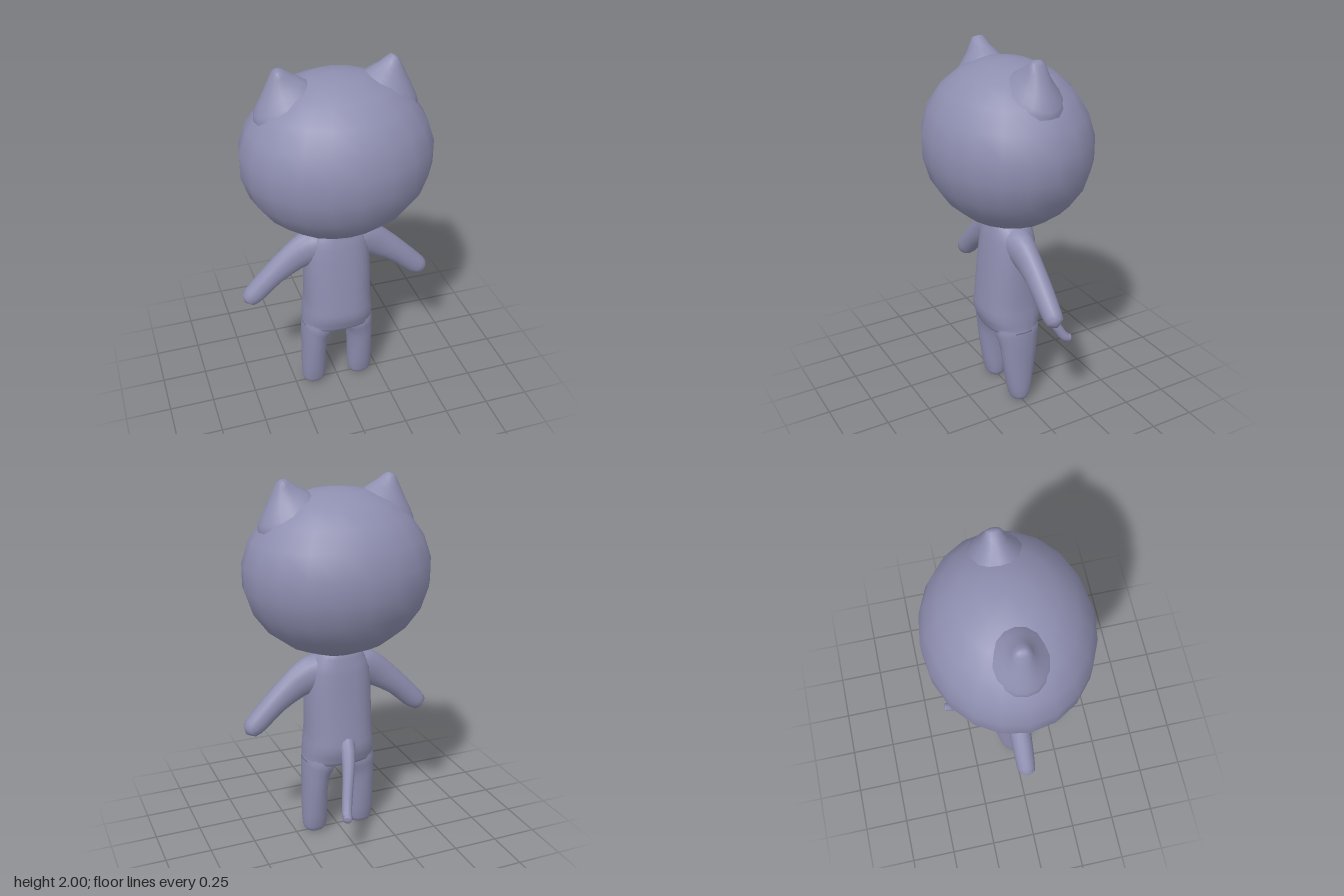
import * as THREE from 'three';
import { mergeVertices } from 'three/addons/utils/BufferGeometryUtils.js';

const material = new THREE.MeshStandardMaterial({ color: 0x8e8eb0 });

// Smooth limb lofted through stations [x, y, z, radius across, radius in depth].
// A power below 1 makes the sections boxier; a given axis keeps all sections parallel.
function loft(stations, { sides = 16, divisions = 2, power = 1, axis = null } = {}) {
  const centres = new THREE.CatmullRomCurve3(stations.map(s => new THREE.Vector3(s[0], s[1], s[2])));
  const radii = new THREE.CatmullRomCurve3(
    stations.map(s => new THREE.Vector3(s[3], s[4], 0)), false, 'catmullrom', 0.4);
  const rings = (stations.length - 1) * divisions;
  const positions = [], index = [];
  const depth = new THREE.Vector3(0, 0, 1);
  const bulge = v => Math.sign(v) * Math.pow(Math.abs(v), power);
  for (let i = 0; i <= rings; i++) {
    const c = centres.getPoint(i / rings), r = radii.getPoint(i / rings);
    const t = axis ?? centres.getTangent(i / rings);
    const u = new THREE.Vector3().crossVectors(t, depth).normalize();
    const w = new THREE.Vector3().crossVectors(t, u);
    for (let j = 0; j < sides; j++) {
      const a = (j / sides) * Math.PI * 2;
      const p = c.clone()
        .addScaledVector(u, bulge(Math.cos(a)) * Math.max(0, r.x))
        .addScaledVector(w, bulge(Math.sin(a)) * Math.max(0, r.y));
      positions.push(p.x, p.y, p.z);
      if (i < rings) {
        const k = (j + 1) % sides, a0 = i * sides, b0 = a0 + sides;
        index.push(a0 + j, a0 + k, b0 + j, a0 + k, b0 + k, b0 + j);
      }
    }
  }
  let geometry = new THREE.BufferGeometry();
  geometry.setAttribute('position', new THREE.Float32BufferAttribute(positions, 3));
  geometry.setIndex(index);
  geometry = mergeVertices(geometry, 1e-5);
  geometry.computeVertexNormals();
  return geometry;
}

export function createModel() {
  const model = new THREE.Group();
  const add = (name, geometry) => {
    const mesh = new THREE.Mesh(geometry, material);
    mesh.name = name;
    model.add(mesh);
    return mesh;
  };

  // Wide, coarse but smooth head
  const head = add('head', new THREE.SphereGeometry(1, 20, 11));
  head.scale.set(0.505, 0.44, 0.431);
  head.position.y = 1.505;

  // Torso, widest in depth at the hips
  add('torso', loft([
    [0, 1.1, 0, 0, 0],
    [0, 1.085, 0, 0.1, 0.1],
    [0, 1.05, -0.005, 0.14, 0.112],
    [0, 0.98, -0.005, 0.172, 0.127],
    [0, 0.8, 0, 0.184, 0.147],
    [0, 0.62, 0, 0.186, 0.165],
    [0, 0.54, 0, 0.195, 0.171],
    [0, 0.47, 0, 0.2, 0.148],
    [0, 0.445, 0, 0.188, 0.13],
    [0, 0.44, 0, 0, 0],
  ], { sides: 24, power: 0.82 }));

  for (const [side, s] of [['left', 1], ['right', -1]]) {
    const mirrored = stations => stations.map(([x, ...rest]) => [s * x, ...rest]);

    // Straight-sided pointed ear flaring out of the head, tilted outwards
    add(side + 'Ear', loft(mirrored([
      [0.278, 1.825, 0, 0.165, 0.14],
      [0.29, 1.855, 0, 0.148, 0.112],
      [0.297, 1.92, 0, 0.086, 0.064],
      [0.301, 1.986, 0, 0.024, 0.034],
      [0.303, 1.992, 0, 0, 0],
    ]), { axis: new THREE.Vector3(s * 0.53, 0.85, 0).normalize() }));

    // Arm sloping down from the neck to a blunt hand
    add(side + 'Arm', loft(mirrored([
      [0, 0.985, 0, 0.085, 0.09],
      [0.09, 0.98, 0, 0.09, 0.09],
      [0.16, 0.955, 0, 0.1, 0.076],
      [0.24, 0.912, 0, 0.085, 0.062],
      [0.36, 0.82, 0, 0.065, 0.057],
      [0.45, 0.732, 0, 0.06, 0.053],
      [0.503, 0.686, 0, 0.047, 0.045],
      [0.525, 0.668, 0, 0, 0],
    ])));

    // Leg tapering in depth to a small foot
    add(side + 'Leg', loft(mirrored([
      [0.1, 0.56, 0, 0.07, 0.11],
      [0.113, 0.45, 0, 0.09, 0.128],
      [0.13, 0.38, 0, 0.077, 0.112],
      [0.138, 0.28, 0, 0.069, 0.1],
      [0.14, 0.12, 0, 0.07, 0.076],
      [0.14, 0.04, 0, 0.066, 0.058],
      [0.14, 0.012, 0, 0.052, 0.044],
      [0.14, 0.003, 0, 0, 0],
    ]), { power: 0.92 }));
  }

  // Thin tail hanging back and to one side, tip turned out
  add('tail', loft([
    [0, 0.6, -0.12, 0.045, 0.045],
    [0.01, 0.545, -0.18, 0.04, 0.04],
    [0.045, 0.41, -0.26, 0.031, 0.031],
    [0.08, 0.285, -0.325, 0.028, 0.028],
    [0.09, 0.256, -0.355, 0.027, 0.027],
    [0.096, 0.252, -0.377, 0.022, 0.022],
    [0.097, 0.252, -0.381, 0, 0],
  ], { sides: 10 }));

  return model;
}
